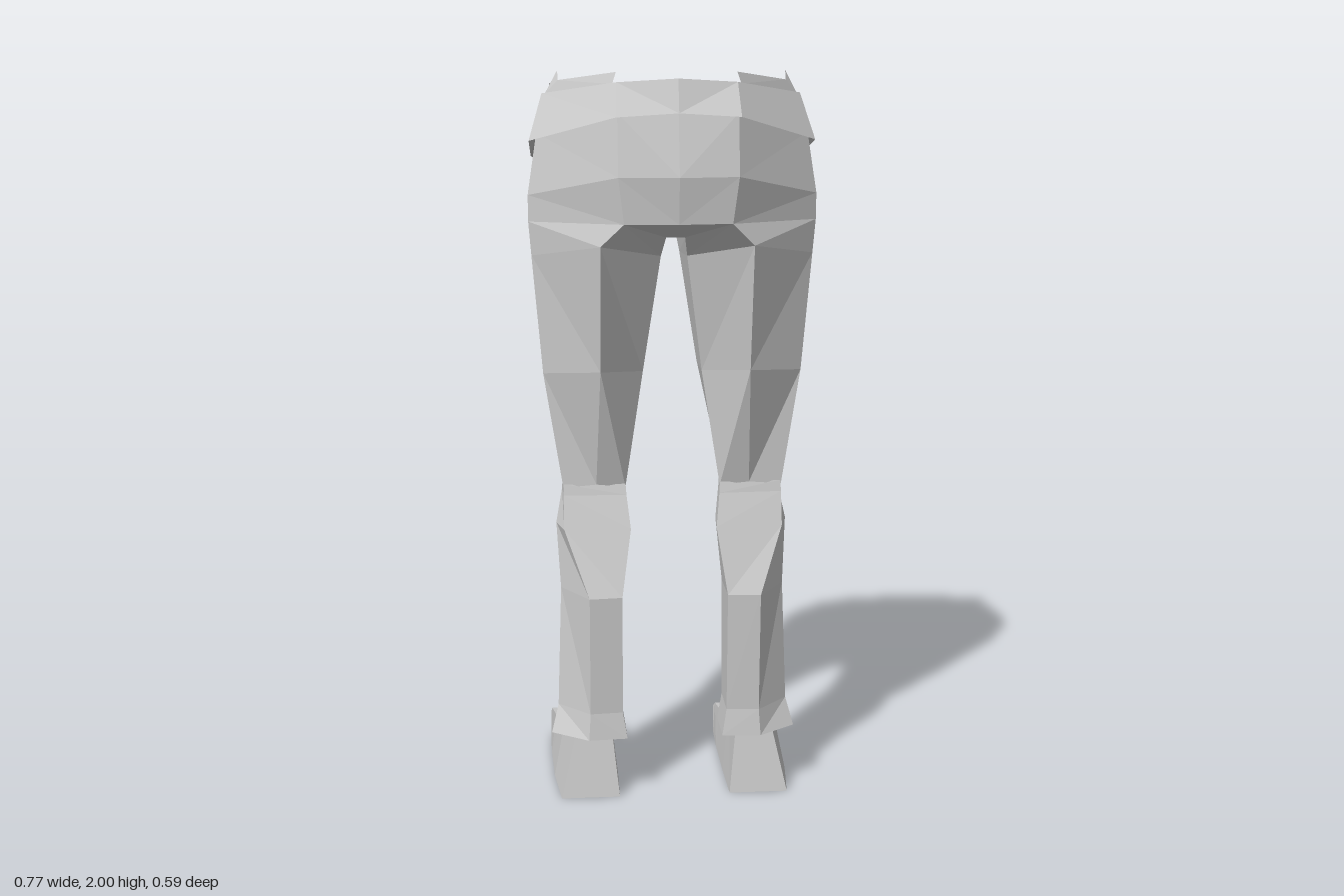
import * as THREE from 'three';

const cloth = new THREE.MeshStandardMaterial({ color: 0xcccccc, flatShading: true, side: THREE.DoubleSide });
cloth.name = 'plain grey';

// Skin over rows of [x, y, z] points; sign -1 mirrors in x and keeps faces outward
function skin(name, rows, { closed = false, caps = false, sign = 1 } = {}) {
  const out = [];
  const tri = (a, b, c) => {
    for (const p of sign > 0 ? [a, b, c] : [a, c, b]) out.push(p[0] * sign, p[1], p[2]);
  };
  for (let r = 0; r < rows.length - 1; r++) {
    const n = rows[r].length;
    for (let i = 0; i < (closed ? n : n - 1); i++) {
      const j = (i + 1) % n;
      tri(rows[r][i], rows[r + 1][i], rows[r][j]);
      tri(rows[r + 1][i], rows[r + 1][j], rows[r][j]);
    }
  }
  if (caps) {
    const a = rows[0], b = rows[rows.length - 1];
    for (let i = 1; i < a.length - 1; i++) {
      tri(a[0], a[i], a[i + 1]);
      tri(b[0], b[i + 1], b[i]);
    }
  }
  const g = new THREE.BufferGeometry();
  g.setAttribute('position', new THREE.Float32BufferAttribute(out, 3));
  g.computeVertexNormals();
  const m = new THREE.Mesh(g, cloth);
  m.name = name;
  return m;
}

// Half rings run from centre (+z) round the side to centre (-z)
const waist = [[0, 1.91, .255], [.155, 1.9, .248], [.358, 1.84, .075], [.35, 1.77, -.105], [.15, 1.69, -.225], [0, 1.67, -.24]];
const hip = [[0, 1.74, .295], [.155, 1.74, .275], [.383, 1.68, .085], [.372, 1.66, -.095], [.17, 1.64, -.195], [0, 1.63, -.215]];
const seat = [[0, 1.62, .278], [.14, 1.62, .265], [.383, 1.61, .083], [.374, 1.6, -.088], [.2, 1.59, -.162], [0, 1.57, -.19]];
const crotchFront = [.025, 1.57, -.185], crotchBack = [.025, 1.575, .17];

// Thigh rings: back, outer back, outer front, front, inner front, inner back
const thigh = [
  [seat[1], seat[2], seat[3], seat[4], crotchFront, crotchBack],
  [[.2, 1.56, .24], [.376, 1.52, .08], [.368, 1.5, -.086], [.2, 1.54, -.155], [.035, 1.5, -.12], [.035, 1.52, .12]],
  [[.2, 1.22, .178], [.35, 1.2, .075], [.338, 1.2, -.08], [.21, 1.2, -.135], [.08, 1.2, -.08], [.08, 1.2, .065]],
  [[.21, .89, .088], [.3, .88, .078], [.295, .91, -.05], [.21, .94, -.1], [.14, .92, -.06], [.13, .88, .08]],
];

// Shin rings: back inner, back outer, outer, front outer, front inner, inner
const shin = [
  [[.13, .89, .085], [.298, .89, .08], [.3, .9, 0], [.25, .93, -.085], [.17, .93, -.085], [.135, .9, 0]],
  [[.128, .86, .092], [.3, .86, .085], [.302, .86, 0], [.255, .85, -.1], [.17, .85, -.1], [.135, .86, 0]],
  [[.118, .77, .12], [.3, .77, .11], [.32, .77, .03], [.265, .79, -.065], [.165, .79, -.065], [.125, .77, .02]],
  [[.145, .59, .17], [.235, .59, .178], [.31, .59, .06], [.27, .59, -.058], [.165, .59, -.058], [.143, .59, .03]],
  [[.145, .25, .155], [.235, .25, .162], [.322, .25, .075], [.28, .25, -.05], [.17, .25, -.05], [.145, .25, .03]],
];
const cuff = [
  shin[4],
  [[.133, .175, .163], [.24, .175, .17], [.342, .175, .1], [.3, .19, -.055], [.16, .19, -.055], [.133, .175, .03]],
];

// Shoe slices from heel to toe: inner bottom, outer bottom, outer top, inner top
const slice = (zb, zt, b0, b1, t0, t1, y) => [[b0, 0, zb], [b1, 0, zb], [t1, y, zt], [t0, y, zt]];
const shoe = [
  slice(.16, .13, .155, .318, .175, .275, .19),
  slice(.0, -.035, .152, .335, .175, .295, .2),
  slice(-.17, -.18, .152, .34, .165, .325, .113),
  slice(-.285, -.28, .155, .34, .16, .335, .095),
  slice(-.29, -.295, .155, .34, .155, .338, .08),
];

// Slanted waistband
const bandTop = [[0, 1.985, .248], [.155, 1.975, .215], [.342, 1.94, .035], [.338, 1.885, -.145], [.15, 1.85, -.245], [0, 1.835, -.258]];
const bandLow = [[0, 1.9, .275], [.16, 1.89, .268], [.378, 1.82, .08], [.372, 1.765, -.115], [.155, 1.67, -.248], [0, 1.65, -.263]];

// Front lining, leaning inward, and the torn slivers above the band
const liningRim = [[.325, 1.91, -.03], [.325, 1.88, -.13], [.15, 1.85, -.225], [0, 1.84, -.24]];
const liningLow = [[.315, 1.85, -.02], [.312, 1.82, -.075], [.175, 1.78, -.165], [0, 1.76, -.2]];
const sideSliver = [
  [[.155, 2, .2], [.3, 1.975, .06], [.3, 2, .045], [.33, 1.925, -.1]],
  [[.165, 1.97, .205], [.332, 1.94, .04], [.335, 1.935, .02], [.333, 1.89, -.13]],
];
const frontSliver = [
  [[.318, 1.96, -.145], [.15, 1.905, -.235], [0, 1.89, -.25]],
  [[.325, 1.88, -.145], [.15, 1.845, -.24], [0, 1.83, -.253]],
];

export function createModel() {
  const model = new THREE.Group();
  model.name = 'trouserLegs';
  for (const sign of [1, -1]) {
    const side = sign > 0 ? 'left' : 'right';
    const half = new THREE.Group();
    half.name = side + 'Half';
    half.add(
      skin(side + 'Pelvis', [waist, hip, seat], { sign }),
      // Crotch strip and the underside of the seat
      skin(side + 'Crotch', [
        [seat[5], [0, 1.575, .17], seat[0]],
        [crotchFront, crotchBack, seat[1]],
      ], { sign }),
      skin(side + 'CrotchFront', [[seat[4], seat[5]], [crotchFront, crotchFront]], { sign }),
      skin(side + 'Thigh', thigh, { closed: true, sign }),
      skin(side + 'Shin', shin, { closed: true, sign }),
      skin(side + 'Cuff', cuff, { closed: true, sign }),
      skin(side + 'Shoe', shoe, { closed: true, caps: true, sign }),
      skin(side + 'Waistband', [bandTop, bandLow, waist], { sign }),
      skin(side + 'Lining', [liningRim, liningLow], { sign }),
      skin(side + 'SideSliver', sideSliver, { sign }),
      skin(side + 'FrontSliver', frontSliver, { sign }),
    );
    model.add(half);
  }
  return model;
}
